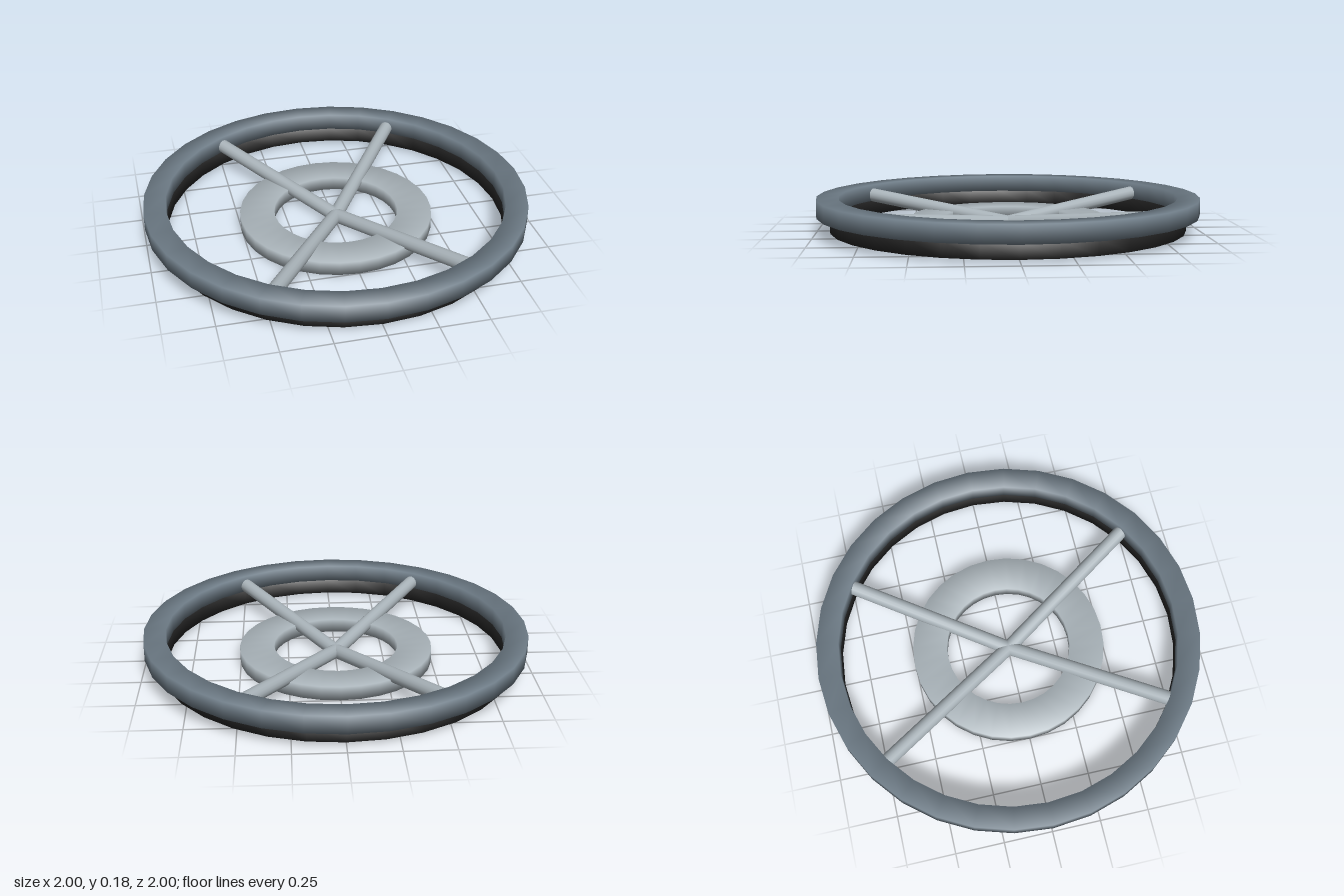
import * as THREE from 'three';
import { mergeVertices } from 'three/addons/utils/BufferGeometryUtils.js';

const mat = (name, color) => new THREE.MeshStandardMaterial({ name, color });

// Ring with a rectangular section and softly blended normals
function ring(name, inner, outer, y0, y1, material, segments = 32) {
  const profile = [[outer, y0], [outer, y1], [inner, y1], [inner, y0], [outer, y0]];
  let geo = new THREE.LatheGeometry(profile.map(([r, y]) => new THREE.Vector2(r, y)), segments);
  geo.deleteAttribute('normal');
  geo.deleteAttribute('uv');
  geo = mergeVertices(geo, 1e-4);
  geo.computeVertexNormals();
  const mesh = new THREE.Mesh(geo, material);
  mesh.name = name;
  return mesh;
}

// Round bar between two points
function bar(name, from, to, radius, material) {
  const dir = to.clone().sub(from);
  const mesh = new THREE.Mesh(new THREE.CylinderGeometry(radius, radius, dir.length(), 16), material);
  mesh.position.copy(from).add(to).multiplyScalar(0.5);
  mesh.quaternion.setFromUnitVectors(new THREE.Vector3(0, 1, 0), dir.normalize());
  mesh.name = name;
  return mesh;
}

export function createModel() {
  const slate = mat('slate', 0x6f7d88);
  const silver = mat('silver', 0xa9b3b9);
  const black = mat('black', 0x222222);

  const model = new THREE.Group();
  model.name = 'wheel';

  // Outer rim, the dark band beneath it and the hub ring
  model.add(
    ring('rim', 0.885, 1, 0.1, 0.19, slate),
    ring('lowerBand', 0.885, 0.932, 0.02, 0.1, black),
    ring('hubRing', 0.325, 0.505, 0.01, 0.082, silver),
  );

  // Four spokes rising from the centre to the rim
  const centre = new THREE.Vector3(0, 0.042, 0);
  const spokes = new THREE.Group();
  spokes.name = 'spokes';
  for (const sx of [-1, 1]) {
    for (const sz of [-1, 1]) {
      spokes.add(bar('spoke', centre, new THREE.Vector3(sx * 0.49, 0.133, sz * 0.745), 0.037, silver));
    }
  }
  model.add(spokes);
  return model;
}
